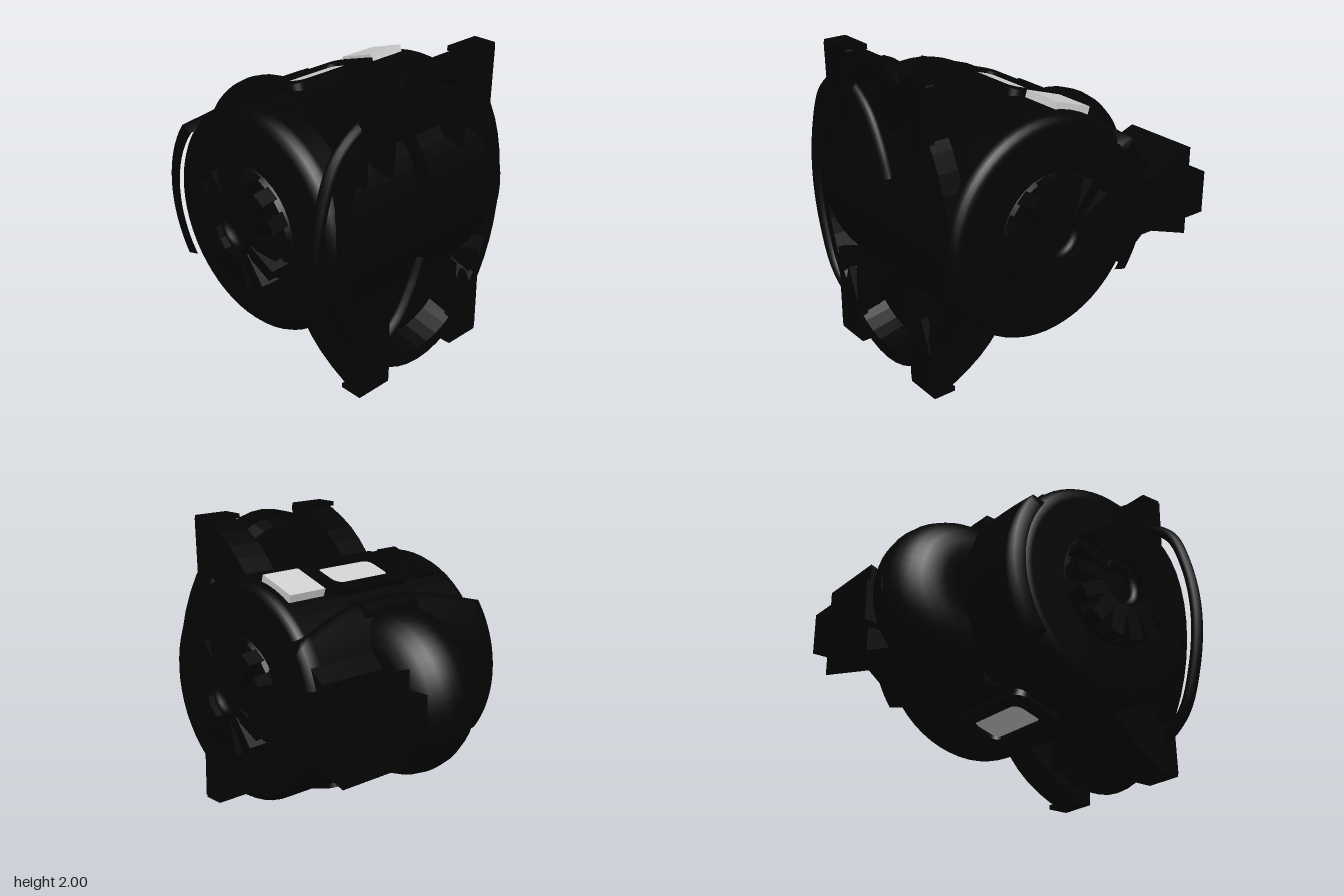
import * as THREE from 'three';

const black = new THREE.MeshStandardMaterial({ color: 0x040404 });
black.name = 'black casing';
const pale = new THREE.MeshStandardMaterial({ color: 0xd0d0d0 });
pale.name = 'pale grey';

const AXIS_Z = 0.235; // main drum axis runs along x at y = 1
const R = 0.713;

function add(parent, name, geometry, material = black, x = 0, y = 0, z = 0) {
  const m = new THREE.Mesh(geometry, material);
  m.name = name;
  m.position.set(x, y, z);
  parent.add(m);
  return m;
}

function group(parent, name, x, y, z) {
  const g = new THREE.Group();
  g.name = name;
  g.position.set(x, y, z);
  parent.add(g);
  return g;
}

const box = (w, h, d) => new THREE.BoxGeometry(w, h, d);

// Rounded rectangle lying flat (x by z), facing +y, optionally with a hole
function roundRect(Type, w, d, r) {
  const s = new Type();
  const a = w / 2, b = d / 2;
  s.moveTo(-a + r, -b);
  s.lineTo(a - r, -b).absarc(a - r, -b + r, r, -Math.PI / 2, 0);
  s.lineTo(a, b - r).absarc(a - r, b - r, r, 0, Math.PI / 2);
  s.lineTo(-a + r, b).absarc(-a + r, b - r, r, Math.PI / 2, Math.PI);
  s.lineTo(-a, -b + r).absarc(-a + r, -b + r, r, Math.PI, Math.PI * 1.5);
  return s;
}

function slab(shape, h, bevel = 0) {
  const g = new THREE.ExtrudeGeometry(shape, {
    depth: h, bevelEnabled: bevel > 0, bevelSize: bevel, bevelThickness: bevel / 2,
    bevelSegments: 3, bevelOffset: -bevel, curveSegments: 6,
  });
  return g.rotateX(-Math.PI / 2);
}

// Side profile in (z, y) extruded across x
function acrossX(points, width) {
  const s = new THREE.Shape(points.map(p => new THREE.Vector2(...p)));
  return new THREE.ExtrudeGeometry(s, { depth: width, bevelEnabled: false })
    .translate(0, 0, -width / 2).rotateY(-Math.PI / 2);
}

// Main drum with rounded ends of radius c0 and c1
function drumGeometry(x0, x1, r, c0, c1) {
  const p = [new THREE.Vector2(0, x0)];
  for (let i = 0; i <= 5; i++) {
    const a = (i / 5) * Math.PI / 2;
    p.push(new THREE.Vector2(r - c0 + c0 * Math.sin(a), x0 + c0 - c0 * Math.cos(a)));
  }
  for (let i = 0; i <= 5; i++) {
    const a = (i / 5) * Math.PI / 2;
    p.push(new THREE.Vector2(r - c1 + c1 * Math.cos(a), x1 - c1 + c1 * Math.sin(a)));
  }
  p.push(new THREE.Vector2(0, x1));
  return new THREE.LatheGeometry(p, 56).rotateZ(-Math.PI / 2);
}

// Raised rear cladding: wraps the drum, taller at the middle than at the ends
function claddingGeometry() {
  const g = new THREE.PlaneGeometry(2, 2, 20, 28);
  const p = g.attributes.position;
  for (let i = 0; i < p.count; i++) {
    const u = p.getX(i), v = p.getY(i);
    const edge = Math.abs(u) > 0.99 || Math.abs(v) > 0.99;
    const a = v * (0.66 + 0.29 * (1 - u * u) ** 1.5);
    const r = edge ? 0.67 : 0.755;
    const x = -0.015 - Math.sign(u) * Math.min(Math.abs(u) * 0.86, 0.773);
    p.setXYZ(i, x, Math.sin(a) * r, -Math.cos(a) * r);
  }
  g.computeVertexNormals();
  return g;
}

// Radial vent on a drum end
function addVent(root, side) {
  const inner = side > 0 ? 0.72 : -0.76;
  const g = group(root, side > 0 ? 'leftVent' : 'rightVent', inner, 1, AXIS_Z);
  const disc = new THREE.CylinderGeometry(0.36, 0.38, 0.05, 32).rotateZ(-side * Math.PI / 2);
  add(g, 'ventBase', disc, black, side * 0.025);
  add(g, 'ventHub', new THREE.TorusGeometry(0.14, 0.035, 8, 28).rotateY(Math.PI / 2), black, side * 0.08);
  const n = 14;
  for (let i = 0; i < n; i++) {
    const pivot = group(g, 'ventBladePivot', side * 0.09, 0, 0);
    pivot.rotation.x = ((i + 0.5) / n) * Math.PI * 2;
    const blade = add(pivot, 'ventBlade', box(0.12, 0.21, 0.09), black, 0, 0.265, 0);
    blade.rotation.y = 0.1;
  }
}

// Curved bracket with a pointed front plate
function addBracket(root, x, flip) {
  const g = group(root, flip ? 'lowerBracket' : 'upperBracket', x, 1, 0);
  if (flip) g.rotation.z = Math.PI;
  const back = [[0.91, 0.99], [0.80, 0.955], [0.70, 0.905], [0.60, 0.84], [0.52, 0.77], [0.44, 0.68]];
  const web = [...back, [0.42, 0.6], [0.70, 0.46], [0.91, 0.4]];
  for (const s of [-1, 1]) add(g, 'bracketWeb', acrossX(web, 0.03), black, s * 0.1);
  const skin = [...back, [0.44, 0.56], [0.6, 0.7], [0.72, 0.8], [0.91, 0.88]];
  add(g, 'bracketSkin', acrossX(skin, 0.2));
  add(g, 'bracketCap', box(0.25, 0.03, 0.15), black, 0, 0.985, 0.875);
  const plate = new THREE.Shape();
  plate.moveTo(-0.13, 0.98).lineTo(-0.12, 0.4).lineTo(-0.1, 0.4).lineTo(-0.09, 0.72);
  plate.lineTo(0, 0.5).lineTo(0.09, 0.72).lineTo(0.1, 0.4).lineTo(0.12, 0.4);
  plate.lineTo(0.13, 0.98).lineTo(0.11, 1).lineTo(-0.11, 1);
  add(g, 'bracketPlate', new THREE.ExtrudeGeometry(plate, { depth: 0.05, bevelEnabled: false }), black, 0, 0, 0.9);
}

// Framed window tangent to the drum, the pane sunk below the frame
function addWindow(root, flip) {
  const g = group(root, flip ? 'lowerWindow' : 'upperWindow', -0.02, 1, AXIS_Z);
  g.rotation.x = flip ? Math.PI + 0.31 : -0.31;
  const frame = roundRect(THREE.Shape, 0.7, 0.38, 0.07);
  frame.holes.push(roundRect(THREE.Path, 0.47, 0.22, 0.06));
  add(g, 'windowFrame', slab(frame, 0.08), black, 0, 0.655, 0);
  add(g, 'windowPane', slab(roundRect(THREE.Shape, 0.465, 0.215, 0.06), 0.02, 0.02), pale, 0, 0.69, 0.005);
}

export function createModel() {
  const root = new THREE.Group();
  root.name = 'model';

  add(root, 'drum', drumGeometry(-0.775, 0.74, R, 0.1, 0.07), black, 0, 1, AXIS_Z);
  add(root, 'rearCladding', claddingGeometry(), black, 0, 1, AXIS_Z);
  addVent(root, 1);
  addVent(root, -1);

  // Stepped oval disc between the brackets, recessed at the front
  const cup = [[0, 0.63], [0.91, 0.63], [0.91, 0.7], [0.95, 0.8], [0.985, 0.8], [0.985, 0.935],
    [0.9, 0.935], [0.86, 0.76], [0, 0.76]];
  const disc = new THREE.LatheGeometry(cup.map(p => new THREE.Vector2(...p)), 48).toNonIndexed();
  disc.rotateX(Math.PI / 2).scale(0.73, 1, 1).computeVertexNormals();
  add(root, 'ovalDisc', disc, black, -0.02, 1, 0);
  for (const x of [-0.43, 0.4]) {
    addBracket(root, x, false);
    addBracket(root, x, true);
  }

  addWindow(root, false);
  addWindow(root, true);

  // Small plates on top of the drum
  const top = group(root, 'topFittings', 0, 1, AXIS_Z);
  top.rotation.x = -0.32;
  add(top, 'paleBlock', box(0.275, 0.085, 0.27), pale, 0.495, 0.706, -0.015);
  add(top, 'sidePanel', box(0.17, 0.04, 0.39), black, -0.515, 0.695, 0.03);

  // Round rear housing and its collar
  const bulge = new THREE.TorusGeometry(0.285, 0.285, 24, 48).rotateY(Math.PI / 2).scale(1, 0.955, 1);
  add(root, 'rearHousing', bulge, black, -0.02, 1, -0.38);
  add(root, 'rearCollar', acrossX([[-0.16, 0.56], [-0.2, 0.55], [-0.23, 0.57], [-0.32, 0.575],
    [-0.34, 0.53], [-0.34, -0.53], [-0.32, -0.575], [-0.23, -0.57], [-0.2, -0.55], [-0.16, -0.56]], 0.46),
  black, -0.02, 1, 0);

  // Side arm wrapping around the rear left corner, with a flared block
  const arm = group(root, 'sideArm', 0, 1, 0);
  add(arm, 'armRail', box(0.17, 0.28, 0.83), black, 0.825, 0, -0.475);
  add(arm, 'armCrossBar', box(0.67, 0.28, 0.36), black, 0.575, 0, -0.71);
  add(arm, 'armBlock', acrossX([[-0.46, 0.17], [-0.54, 0.2], [-0.82, 0.3],
    [-0.82, -0.3], [-0.54, -0.2], [-0.46, -0.17]], 0.52), black, 0.58, 0, 0);
  add(arm, 'armGusset', acrossX([[-0.05, 0.2], [-0.34, 0.4], [-0.55, 0.23],
    [-0.55, -0.23], [-0.34, -0.4], [-0.05, -0.2]], 0.5), black, 0.5, 0, 0);
  add(arm, 'housingTip', box(0.06, 0.08, 0.06), black, -0.02, -0.03, -0.925);

  // Looped hose
  const half = [[0.01, 0.26], [-0.05, 0.42], [-0.2, 0.65], [-0.45, 0.77], [-0.69, 0.64], [-0.82, 0.35]];
  const pts = [...half, [-0.87, 0], ...half.slice().reverse().map(([x, y]) => [x, -y])];
  const path = new THREE.CatmullRomCurve3(pts.map(([x, y]) => new THREE.Vector3(x, y, 0)));
  add(root, 'hose', new THREE.TubeGeometry(path, 72, 0.038, 10), black, 0, 1, 0.89);

  return root;
}
